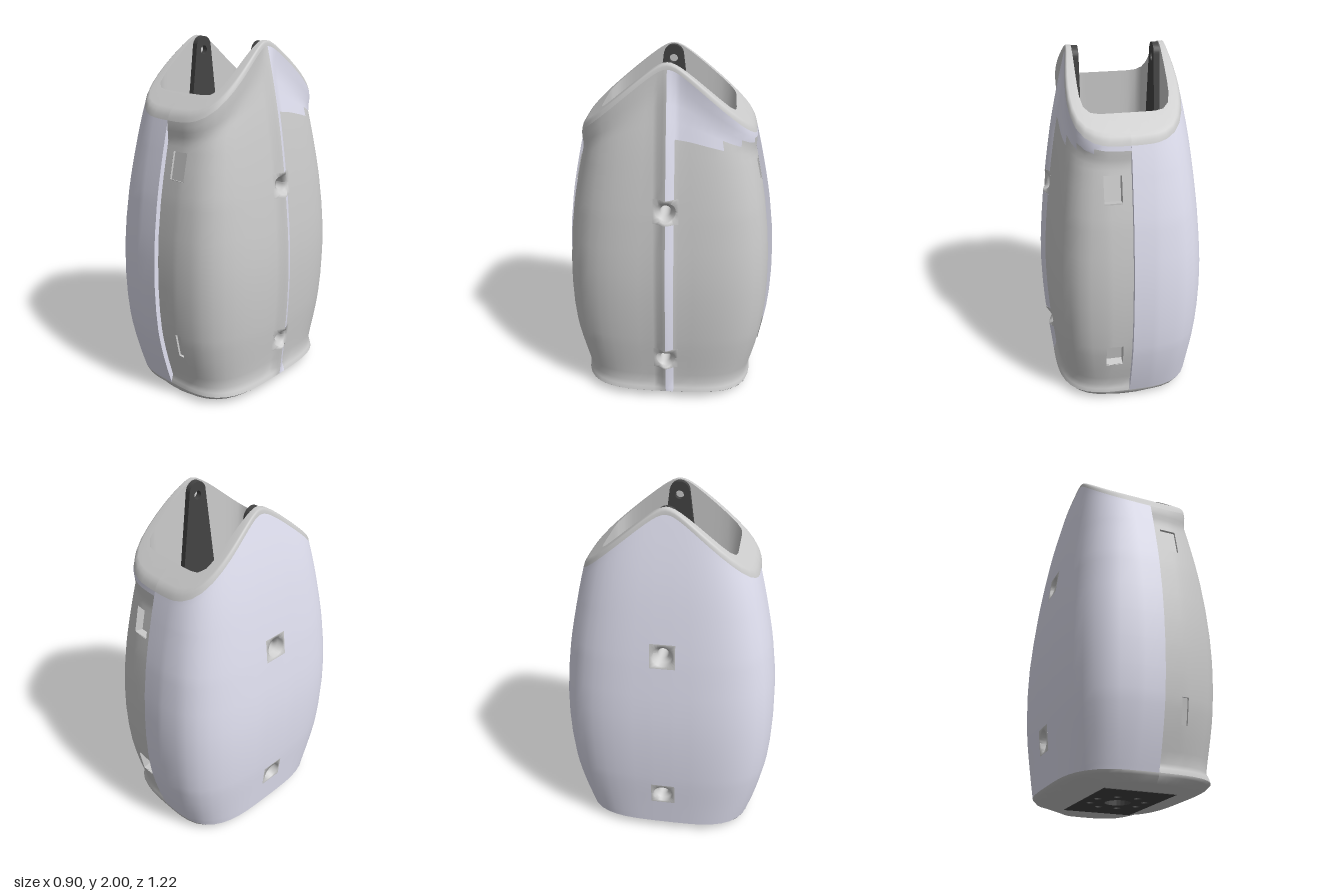
import * as THREE from 'three';

const N = 3.5, INSET = 0.028, HOLES = [0.295, 1.235], SQ = 0.07;
const GREY = 0xcccccc, PALE = 0xe0e0f0, DARK = 0x444444;

// half width and half depth of the hull at heights 0, 0.2 ... 2.0
const A = [0.40, 0.42, 0.44, 0.45, 0.45, 0.436, 0.415, 0.388, 0.355, 0.312, 0.262];
const B = [0.49, 0.55, 0.593, 0.61, 0.61, 0.597, 0.57, 0.53, 0.482, 0.425, 0.36];
const profile = new THREE.CubicInterpolant(A.map((_, i) => i * 0.2), A.flatMap((a, i) => [a, B[i]]), 2, new Float32Array(2));
const size = y => { const r = profile.evaluate(Math.min(y, 1.9999)); return [r[0], r[1]]; };

// height of the gabled rim
const roof = z => 2 + 0.855 * (0.06 - Math.hypot(z, 0.06));
const smooth = t => THREE.MathUtils.smoothstep(t, 0, 1);

// columns of one half, running from the front centre round to the back centre
const quarter = [0, 0.05, 0.11, 0.145].map(x => ({ x, s: 1 }))
  .concat([68, 62, 56, 50, 44, 38, 32, 26, 20].map(d => ({ phi: d * Math.PI / 180 })))
  .concat([0.07, 0.045, 0.02].map(z => ({ z })));
const flip = c => c.s ? { x: c.x, s: -1 } : c.z !== undefined ? { z: -c.z } : { phi: -c.phi };
const columns = [...quarter, { z: 0 }, ...quarter.map(flip).reverse()];

// where a column meets a rounded-rectangle section
function section(c, a, b, n) {
  const k = t => Math.pow(Math.max(0, 1 - Math.pow(Math.abs(t), n)), 1 / n);
  if (c.z !== undefined) return [a * k(c.z / b), c.z];
  if (c.s) return [c.x, c.s * b * k(c.x / a)];
  const cs = Math.cos(c.phi), sn = Math.sin(c.phi);
  const r = Math.pow(Math.pow(Math.abs(cs / a), n) + Math.pow(Math.abs(sn / b), n), -1 / n);
  return [r * cs, r * sn];
}
const polar = p => ({ phi: Math.atan2(p[2], p[0]) });

function topOf(c) {
  let y = 1.7;
  for (let i = 0; i < 20; i++) y = roof(section(c, ...size(y), N)[1]) - 0.03;
  return y;
}

// hull point; the inset fades out at the side ridge, the rim and the foot
function hull(c, y, inset, top) {
  const side = c.z !== undefined ? smooth(Math.abs(c.z) / 0.06) : 1;
  const d = inset * side * smooth((top - y) / 0.12) * smooth((y - 0.05) / 0.06);
  const [a, b] = size(y);
  const [x, z] = section(c, a - d, b - d, N);
  return [x, y, z];
}

// surface through columns of points, leaving out cells that fail keep()
function grid(cols, keep = () => true) {
  const rows = cols[0].length, index = [];
  for (let i = 0; i < cols.length - 1; i++) for (let j = 0; j < rows - 1; j++) {
    const p = cols[i][j], q = cols[i + 1][j + 1];
    if (!keep((p[0] + q[0]) / 2, (p[1] + q[1]) / 2, (p[2] + q[2]) / 2)) continue;
    const a = i * rows + j, b = a + rows;
    index.push(a, b, b + 1, a, b + 1, a + 1);
  }
  const g = new THREE.BufferGeometry();
  g.setAttribute('position', new THREE.Float32BufferAttribute(cols.flat(2), 3));
  g.setIndex(index);
  g.computeVertexNormals();
  return g;
}

function add(parent, name, geometry, color, side = THREE.DoubleSide) {
  const mesh = new THREE.Mesh(geometry, new THREE.MeshStandardMaterial({ color, side }));
  mesh.name = name;
  parent.add(mesh);
  return mesh;
}

// fills a square gap in a side wall with rings that end in a round hole
function holeRings(yc, s, rings) {
  const cols = [];
  for (let i = 0; i <= 32; i++) {
    const t = i / 32 * Math.PI * 2, c = Math.cos(t), n = Math.sin(t);
    cols.push(rings.map(({ r, x }) => {
      const R = r || SQ / Math.max(Math.abs(c), Math.abs(n));
      const y = yc + R * n, z = -R * c;
      return [s * x(y, z), y, z];
    }));
  }
  return grid(s > 0 ? cols : cols.reverse());
}
const nearHole = (y, z) => Math.abs(z) < SQ && HOLES.some(h => Math.abs(y - h) < SQ);

// snap pockets on the inset half
const pockets = [
  { x0: 0.05, x1: 0.145, y0: 1.305, y1: 1.455, s: 1, d: 0.012 },
  { x0: 0.11, x1: 0.145, y0: 0.29, y1: 0.43, s: 1, d: 0.012 },
  { x0: 0.05, x1: 0.145, y0: 1.305, y1: 1.455, s: -1, d: 0.05 },
  { x0: 0.05, x1: 0.145, y0: 0.29, y1: 0.43, s: -1, d: 0.05 },
];
const inPocket = (x, y, z) => pockets.some(p => x > p.x0 && x < p.x1 && y > p.y0 && y < p.y1 && z * p.s > 0.3);

const hullRows = [0.05, 0.075, 0.1, 0.16, 0.225, 0.29, 0.365, 0.43, 0.55, 0.7, 0.85, 1, 1.165, 1.23, 1.305, 1.38, 1.455];
const cavityRows = [0.05, 0.225, 0.365, 0.8, 1.165, 1.305, 1.5];

function buildHalf(s, inset, color, name) {
  const half = new THREE.Group();
  half.name = name;
  const loft = fn => {
    const cols = columns.map(c => fn(c, topOf(c)).map(p => [p[0] * s, p[1], p[2]]));
    return s > 0 ? cols : cols.reverse();
  };

  // outer hull
  const outer = loft((c, top) => [
    ...hullRows.map(y => hull(c, y, inset, top)),
    ...[1, 2, 3, 4, 5, 6].map(i => hull(c, 1.455 + (top - 1.455) * i / 6, inset, top)),
  ]);
  const pale = (x, y, z) => z < 0 && (z > -0.045 || y > 1.58);
  const solid = (x, y, z) => !nearHole(y, z) && !(inset && inPocket(x, y, z));
  add(half, 'hullSkin', grid(outer, (x, y, z) => solid(x, y, z) && !(inset && pale(x, y, z))), color);
  if (inset) add(half, 'seamRidge', grid(outer, (x, y, z) => solid(x, y, z) && pale(x, y, z)), PALE);

  // sloping rim with a rounded outer lip
  add(half, 'rim', grid(loft((c, top) => {
    const o = hull(c, top, 0, top);
    const [ix, iz] = section(c.z !== undefined ? c : polar(o), 0.235, 0.36, 8);
    return [[0, 0.03], [0.06, 0.014], [0.16, 0.004], [0.3, 0], [1, 0]].map(([f, drop]) => {
      const z = o[2] + (iz - o[2]) * f;
      return [o[0] + (ix - o[0]) * f, roof(z) - drop, z];
    });
  })), GREY);

  // cavity wall and the ledge around the floor plate
  const inner = (c, top) => section(c.z !== undefined ? c : polar(hull(c, top, 0, top)), 0.235, 0.36, 8);
  add(half, 'cavityWall', grid(loft((c, top) => {
    const [x, z] = inner(c, top);
    return [roof(z), ...[...cavityRows].reverse()].map(y => [x, y, z]);
  }), (x, y, z) => !nearHole(y, z)), GREY);
  add(half, 'cavityLedge', grid(loft((c, top) => {
    const [x, z] = inner(c, top), [u, w] = section(polar([x, 0, z]), 0.2, 0.3, 20);
    return [[x, 0.05, z], [u, 0.048, w]];
  })), GREY);

  // chamfered foot
  add(half, 'foot', grid(loft((c, top) => {
    const o = hull(c, 0.05, 0, top), d = polar(o);
    const [x0, z0] = section(d, 0.2, 0.3, 20), [x1, z1] = section(d, 0.23, 0.475, N);
    const [x2, z2] = section(d, 0.385, 0.502, N);
    return [[x0, 0.003, z0], [x1, 0.001, z1], [x2, 0.033, z2], o];
  })), GREY);

  // countersunk screw holes through hull and cavity wall
  for (const h of HOLES) {
    const skin = (y, z) => hull({ z }, y, inset, 2)[0];
    const edge = size(h)[0];
    add(half, 'screwHole', holeRings(h, s, [
      { x: skin }, { r: 0.056, x: skin }, { r: 0.054, x: () => edge - 0.035 },
      { r: 0.03, x: () => edge - 0.045 }, { r: 0.027, x: () => 0.235 },
    ]), GREY);
    add(half, 'cavityHole', holeRings(h, s, [{ x: () => 0.235 }, { r: 0.027, x: () => 0.235 }]), GREY);
  }
  return half;
}

export function createModel() {
  const model = new THREE.Group();
  const leftHalf = buildHalf(1, INSET, GREY, 'insetHalf');
  model.add(leftHalf, buildHalf(-1, 0, PALE, 'coverHalf'));

  // recessed pockets
  for (const p of pockets) {
    const y = (p.y0 + p.y1) / 2, x = (p.x0 + p.x1) / 2;
    const at = v => section({ x, s: 1 }, size(v)[0] - INSET, size(v)[1] - INSET, N)[1];
    const slope = (at(p.y1) - at(p.y0)) / (p.y1 - p.y0);
    const box = add(leftHalf, 'snapPocket', new THREE.BoxGeometry(p.x1 - p.x0, p.y1 - p.y0, p.d), GREY, THREE.BackSide);
    box.position.set(x, y, p.s * (at(y) - p.d / 2));
    box.rotation.x = p.s * Math.atan(slope);
  }

  // exposed edges of the cover where the two halves step
  for (const s of [1, -1]) {
    const c = { x: 0, s }, top = topOf(c);
    const ys = [...hullRows, 1.5, 1.55, top];
    add(model, 'coverEdge', grid([0, INSET].map(d => ys.map(y => hull(c, y, d, top)))), PALE);
  }

  // floor plate with a ring of holes
  const plate = new THREE.Shape([[-0.2, -0.3], [0.2, -0.3], [0.2, 0.3], [-0.2, 0.3]].map(p => new THREE.Vector2(...p)));
  const punch = (shape, x, y, r) => shape.holes.push(new THREE.Path().absarc(x, y, r, 0, Math.PI * 2, true));
  punch(plate, 0, 0, 0.071);
  for (let i = 0; i < 8; i++) {
    const t = (i + 0.5) * Math.PI / 4;
    punch(plate, 0.146 * Math.cos(t), 0.146 * Math.sin(t), 0.021);
  }
  const plateGeo = new THREE.ExtrudeGeometry(plate, { depth: 0.05, bevelEnabled: false, curveSegments: 10 });
  plateGeo.rotateX(Math.PI / 2).translate(0, 0.05, 0);
  add(model, 'floorPlate', plateGeo, DARK);

  // tapering side brackets with a pivot hole at the tip
  const arm = new THREE.Shape();
  arm.moveTo(-0.3, 0.02);
  arm.lineTo(0.3, 0.02);
  arm.lineTo(0.055, 1.955);
  arm.absarc(0, 1.94, 0.056, 0.13, Math.PI - 0.13, false);
  arm.closePath();
  punch(arm, 0, 1.92, 0.024);
  for (const h of HOLES) punch(arm, 0, h, 0.027);
  const armGeo = new THREE.ExtrudeGeometry(arm, { depth: 0.032, bevelEnabled: false, curveSegments: 12 });
  armGeo.translate(0, 0, -0.016).rotateY(-Math.PI / 2);
  for (const s of [1, -1]) add(model, 'sideBracket', armGeo, DARK).position.x = s * 0.217;

  return model;
}
